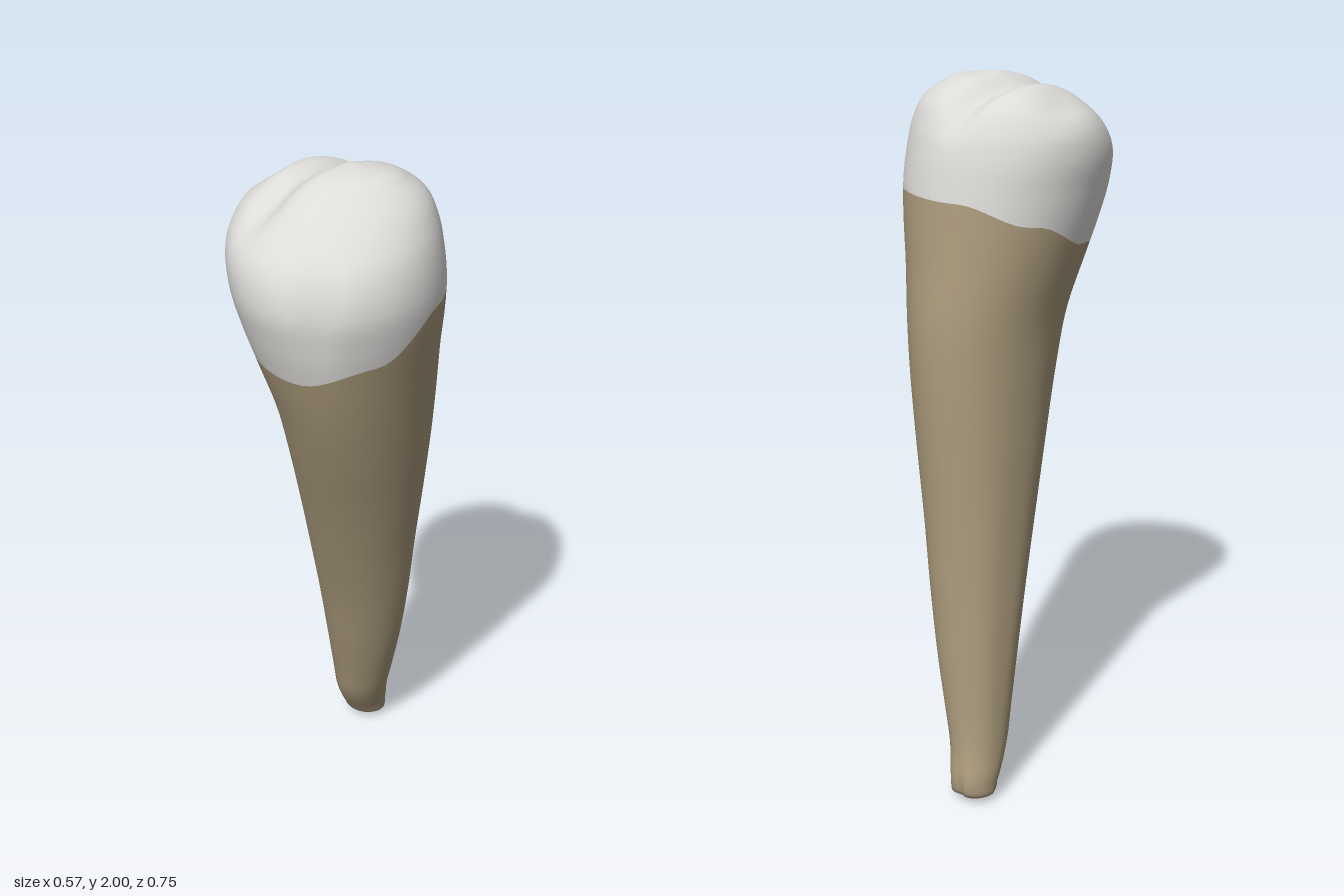
import * as THREE from 'three';

// Cross-sections from root tip to crown top: y, xMin, xMax, zMin, zMax
const SECTIONS = [
  [0.0, -0.08, -0.07, -0.315, -0.305],
  [0.015, -0.128, -0.02, -0.36, -0.27],
  [0.05, -0.14, -0.008, -0.375, -0.24],
  [0.15, -0.146, 0.015, -0.352, -0.175],
  [0.25, -0.147, 0.042, -0.338, -0.14],
  [0.4, -0.15, 0.08, -0.325, -0.09],
  [0.6, -0.155, 0.12, -0.31, -0.025],
  [0.8, -0.16, 0.152, -0.3, 0.05],
  [1.0, -0.165, 0.185, -0.295, 0.13],
  [1.2, -0.17, 0.215, -0.29, 0.215],
  [1.35, -0.182, 0.235, -0.28, 0.275],
  [1.5, -0.22, 0.257, -0.256, 0.328],
  [1.6, -0.248, 0.275, -0.24, 0.358],
  [1.7, -0.272, 0.285, -0.225, 0.375],
  [1.8, -0.285, 0.275, -0.205, 0.345],
  [1.87, -0.268, 0.255, -0.18, 0.28],
  [1.93, -0.225, 0.222, -0.14, 0.21],
  [1.965, -0.175, 0.18, -0.09, 0.165],
  [1.988, -0.1, 0.13, -0.025, 0.115],
  [2.0, 0.02, 0.03, 0.045, 0.055],
];
// Height of the border between root and crown, every 45 degrees from the front towards +x
const BORDER = [1.5, 1.55, 1.665, 1.69, 1.685, 1.625, 1.55, 1.515];

const SIDES = 64, ROOT_ROWS = 48, CROWN_ROWS = 36, ROWS = ROOT_ROWS + CROWN_ROWS;

const bump = (v, centre, width) => Math.exp(-(((v - centre) / width) ** 2));

const section = new THREE.CubicInterpolant(
  SECTIONS.map((s) => s[0]), SECTIONS.flatMap((s) => s.slice(1)), 4);

function borderHeight(angle) {
  const f = ((angle / (Math.PI / 4)) + 8) % 8, i = Math.floor(f) % 8, t = f - Math.floor(f);
  return THREE.MathUtils.lerp(BORDER[i], BORDER[(i + 1) % 8], t * t * (3 - 2 * t));
}

function surfacePoint(angle, y) {
  const [x0, x1, z0, z1] = section.evaluate(y);
  let r = 1;
  // Shallow furrow on the front of the crown
  r -= 0.045 * bump(angle, 0.24, 0.16) * bump(y, 1.72, 0.14);
  // Long furrows down both sides of the root
  r -= 0.04 * (bump(angle, 2.0, 0.3) + bump(angle, -2.0, 0.3)) * bump(y, 0.6, 0.5);
  // Split at the very tip
  r -= 0.15 * bump(angle, 2.9, 0.3) * bump(y, 0.0, 0.08);
  const x = (x0 + x1) / 2 + r * Math.sin(angle) * (x1 - x0) / 2;
  const z = (z0 + z1) / 2 + r * Math.cos(angle) * (z1 - z0) / 2;
  // Groove across the biting surface, and a dip beside the lower cusp
  const top = THREE.MathUtils.smoothstep(y, 1.8, 1.95);
  const across = (x + 0.07) * 0.89 + (z - 0.06) * 0.45;
  const drop = 0.04 * bump(across, 0, 0.045) + 0.025 * bump(x, -0.2, 0.06) * bump(z, 0, 0.12);
  return [x, y - drop * top, z];
}

// One smooth skin, whose rows follow the border exactly
function buildSkin() {
  const points = [];
  for (let i = 0; i <= ROWS; i++) {
    for (let j = 0; j < SIDES; j++) {
      const angle = (j / SIDES) * Math.PI * 2 - Math.PI;
      const edge = borderHeight(angle);
      const t = i / ROOT_ROWS, u = (i - ROOT_ROWS) / CROWN_ROWS;
      const y = i <= ROOT_ROWS
        ? edge * (1 - Math.cos(t * Math.PI / 2)) ** 0.8
        : edge + (2 - edge) * Math.sin(u * Math.PI / 2);
      points.push(...surfacePoint(angle, y));
    }
  }
  const id = (i, j) => (i === 0 || i === ROWS ? i * SIDES : i * SIDES + (j % SIDES));
  const faces = (from, to) => {
    const index = [];
    for (let i = from; i < to; i++) {
      for (let j = 0; j < SIDES; j++) {
        const a = id(i, j), b = id(i, j + 1), c = id(i + 1, j + 1), d = id(i + 1, j);
        if (a !== b) index.push(a, b, c);
        if (c !== d) index.push(a, c, d);
      }
    }
    return index;
  };
  const skin = new THREE.BufferGeometry();
  skin.setAttribute('position', new THREE.Float32BufferAttribute(points, 3));
  skin.setIndex(faces(0, ROWS));
  skin.computeVertexNormals();
  return (from, to) => skin.clone().setIndex(faces(from, to));
}

export function createModel() {
  const enamel = new THREE.MeshStandardMaterial({ color: 0xdddbd8 });
  enamel.name = 'enamel white';
  const dentine = new THREE.MeshStandardMaterial({ color: 0xa8987a });
  dentine.name = 'root tan';

  const cut = buildSkin();
  const root = new THREE.Mesh(cut(0, ROOT_ROWS), dentine);
  root.name = 'root';
  const crown = new THREE.Mesh(cut(ROOT_ROWS, ROWS), enamel);
  crown.name = 'crown';

  const tooth = new THREE.Group();
  tooth.name = 'tooth';
  tooth.add(root, crown);
  return tooth;
}
